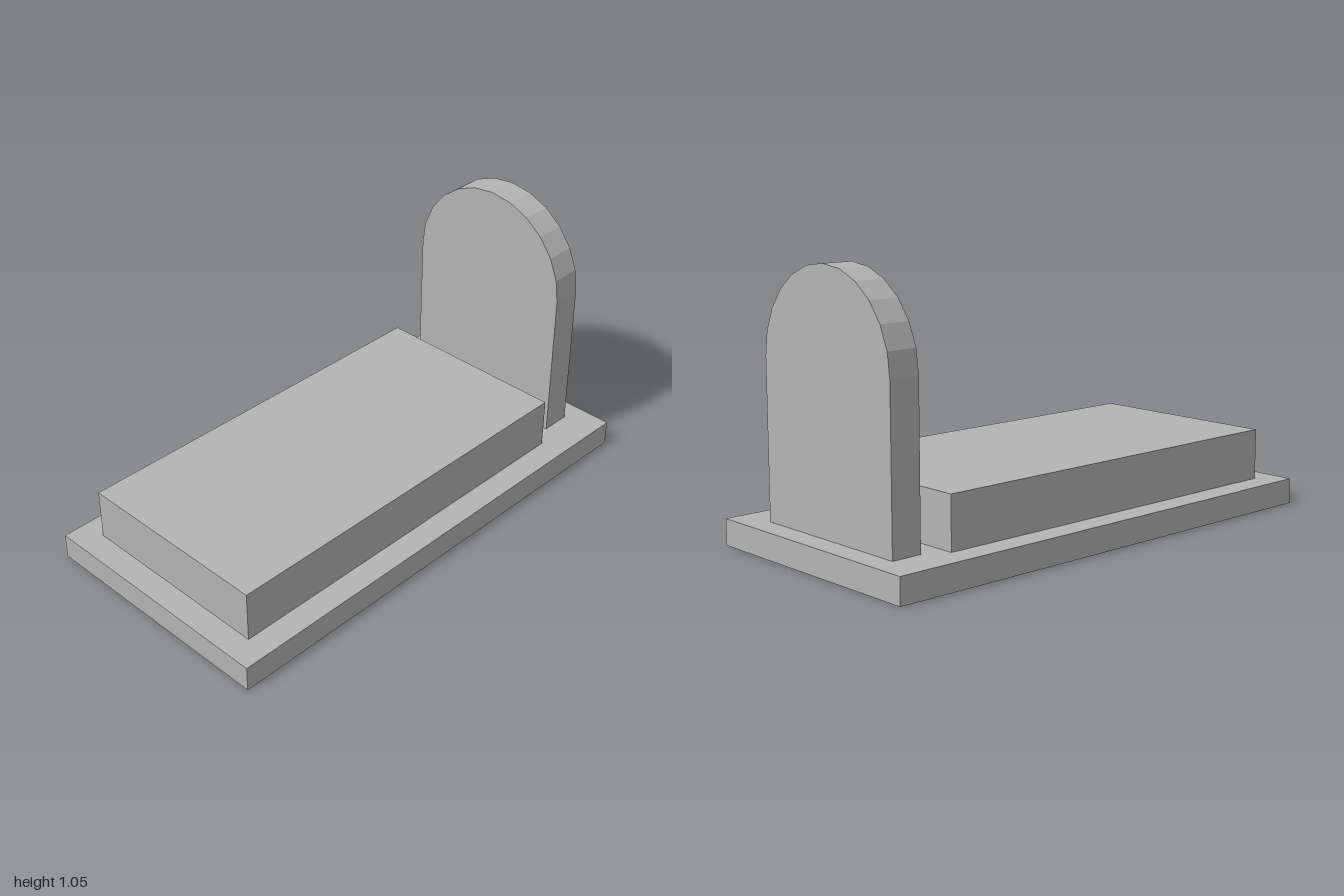
import * as THREE from 'three';

export function createModel() {
  const model = new THREE.Group();
  model.name = 'grave';
  const stone = new THREE.MeshStandardMaterial({ name: 'grey stone', color: 0xb4b4b4, flatShading: true });

  const add = (name, geometry, y, z) => {
    const mesh = new THREE.Mesh(geometry, stone);
    mesh.name = name;
    mesh.position.set(0, y, z);
    model.add(mesh);
  };

  // Base plinth and raised slab
  add('base', new THREE.BoxGeometry(1, 0.1, 2), 0.05, 0);
  add('slab', new THREE.BoxGeometry(0.8, 0.2, 1.6), 0.2, 0.1);

  // Round-topped headstone: straight sides and a twelve-sided half circle
  const radius = 0.35, sideHeight = 0.6, thickness = 0.12;
  const outline = new THREE.Shape();
  outline.moveTo(-radius, 0);
  outline.lineTo(radius, 0);
  outline.lineTo(radius, sideHeight);
  for (let i = 1; i <= 12; i++) {
    const a = (i / 12) * Math.PI;
    outline.lineTo(radius * Math.cos(a), sideHeight + radius * Math.sin(a));
  }
  outline.closePath();
  const headstone = new THREE.ExtrudeGeometry(outline, { depth: thickness, bevelEnabled: false });
  headstone.translate(0, 0, -thickness / 2);
  add('headstone', headstone, 0.1, -0.85);

  return model;
}
